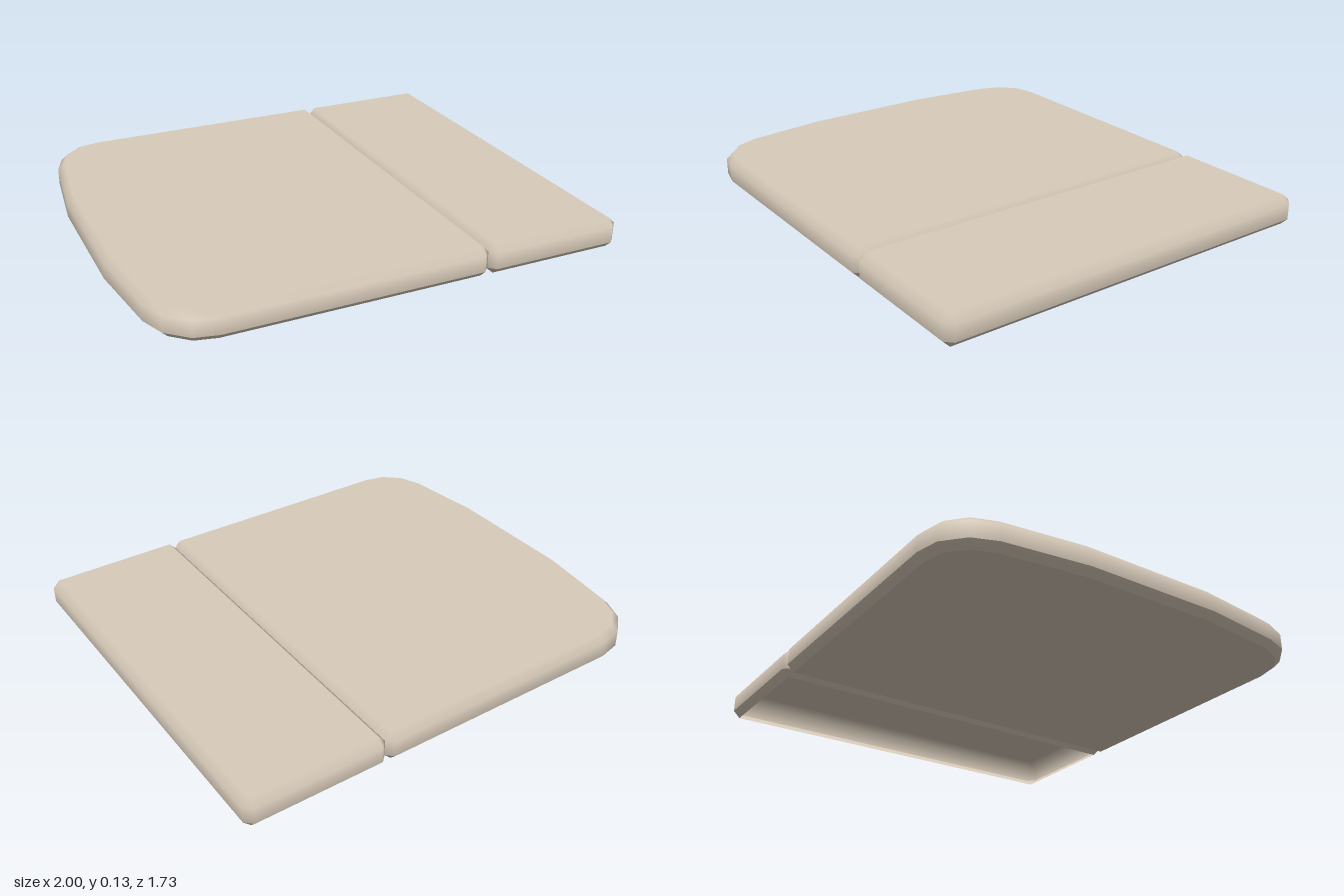
import * as THREE from 'three';

const H = 0.13, B = 0.03; // slab height and bevel size

// Half outlines (z >= 0), left to right: outer x, z then inset x, z
const widePanel = [
  [-1, 0.3, -0.97, 0.297], [-0.955, 0.66, -0.926, 0.652], [-0.915, 0.765, -0.89, 0.748],
  [-0.83, 0.842, -0.818, 0.814], [-0.73, 0.865, -0.727, 0.835],
  [0.362, 0.865, 0.362, 0.835], [0.39, 0.837, 0.362, 0.835],
];
const narrowPanel = [
  [0.39, 0.837, 0.418, 0.835], [0.418, 0.865, 0.418, 0.835],
  [0.97, 0.865, 0.97, 0.835], [1, 0.835, 0.97, 0.835],
];

// Bevelled slab: flat caps, softly shaded rim, creased lower bevel
function slab(half, closedBottom) {
  const mirrored = half.map(([x, z, ix, iz]) => [x, -z, ix, -iz]).reverse();
  const pts = [...half, ...mirrored];
  const n = pts.length;
  const position = [], normal = [], index = [];

  const ring = (inset, y, out, up) => {
    const start = position.length / 3;
    for (const [x, z, ix, iz] of pts) {
      position.push(inset ? ix : x, y, inset ? iz : z);
      const d = new THREE.Vector3(x - ix, 0, z - iz).normalize().multiplyScalar(out);
      d.y = up;
      d.normalize();
      normal.push(d.x, d.y, d.z);
    }
    return start;
  };
  const band = (a, b) => {
    for (let i = 0; i < n; i++) {
      const j = (i + 1) % n;
      index.push(a + i, b + i, b + j, a + i, b + j, a + j);
    }
  };
  const cap = (a, faceUp) => {
    for (let i = 1; i < n - 1; i++) {
      if (faceUp) index.push(a, a + i, a + i + 1);
      else index.push(a, a + i + 1, a + i);
    }
  };

  // top face and rim
  const top = ring(true, H, 0, 1);
  const shoulder = ring(false, H - B, 1, 0.4);
  const waist = ring(false, B, 1, -0.15);
  cap(top, true);
  band(top, shoulder);
  band(shoulder, waist);

  // lower bevel
  band(ring(false, B, 1, -0.9), ring(true, 0, 1, -1.1));
  if (closedBottom) cap(ring(true, 0, 0, -1), false);

  const g = new THREE.BufferGeometry();
  g.setAttribute('position', new THREE.Float32BufferAttribute(position, 3));
  g.setAttribute('normal', new THREE.Float32BufferAttribute(normal, 3));
  g.setIndex(index);
  return g;
}

export function createModel() {
  const group = new THREE.Group();
  const beige = new THREE.MeshStandardMaterial({ color: 0xd8cbba, side: THREE.DoubleSide });
  beige.name = 'beige';

  const lid = new THREE.Mesh(slab(widePanel, true), beige);
  lid.name = 'widePanel';

  // hollow underneath
  const rear = new THREE.Mesh(slab(narrowPanel, false), beige);
  rear.name = 'narrowPanel';

  group.add(lid, rear);
  return group;
}
